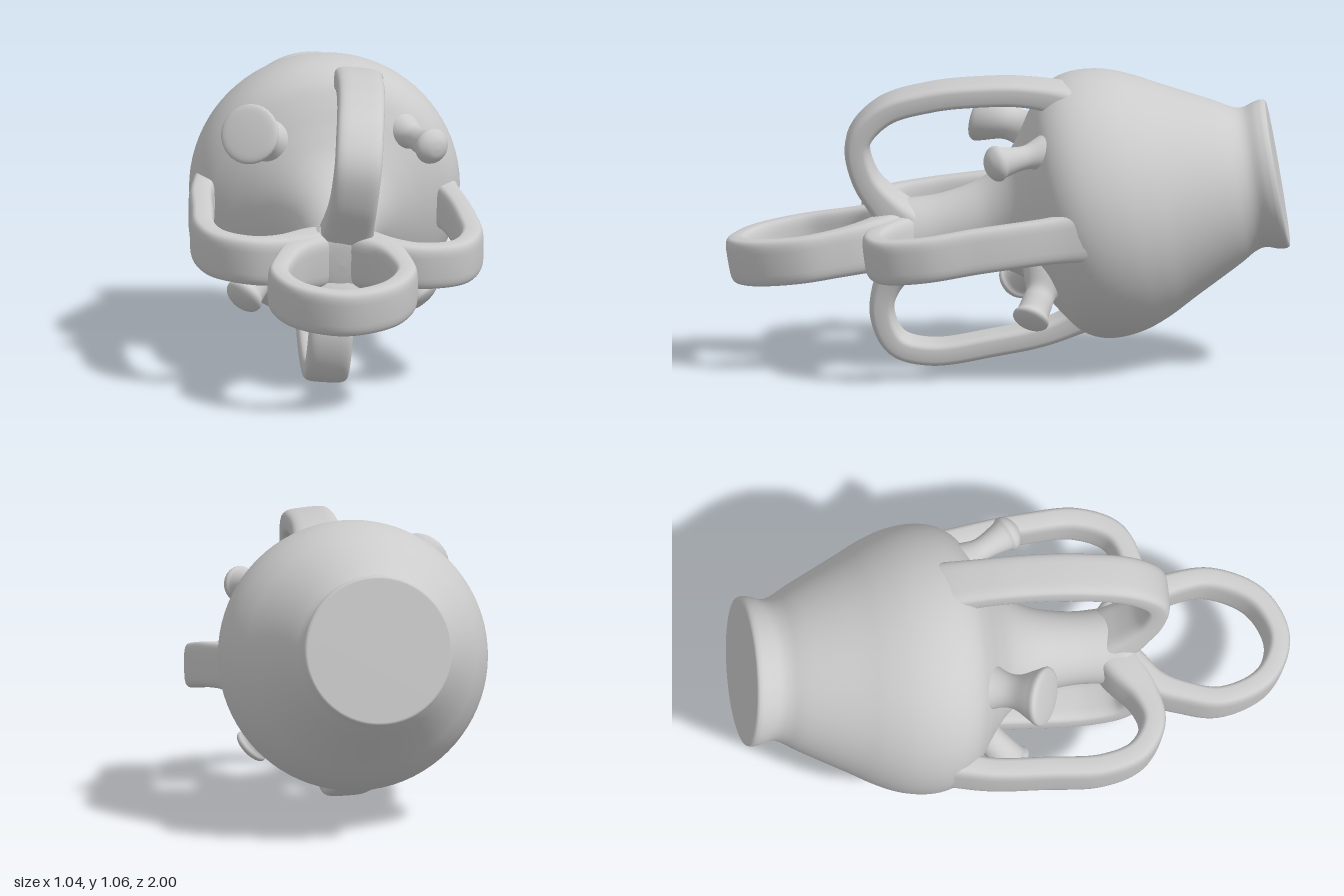
import * as THREE from 'three';

const material = new THREE.MeshStandardMaterial({ color: 0xcccccc, side: THREE.DoubleSide });
const V = (p) => new THREE.Vector3(...p);

function part(name, geometry) {
  const mesh = new THREE.Mesh(geometry, material);
  mesh.name = name;
  return mesh;
}

// Flat strap with a soft rectangular section, swept along a smooth path
function strap(name, path, widthDir, width, thickness) {
  const curve = new THREE.CatmullRomCurve3(path.map(V), false, 'centripetal');
  const rows = 72, sides = 28, positions = [], index = [];
  const soft = (v) => Math.sign(v) * Math.pow(Math.abs(v), 0.5);
  for (let i = 0; i <= rows; i++) {
    const u = i / rows;
    const c = curve.getPointAt(u), t = curve.getTangentAt(u);
    const r = V(widthDir);
    r.addScaledVector(t, -r.dot(t)).normalize();
    const n = new THREE.Vector3().crossVectors(t, r);
    // Swells where it melts into the body
    const swell = Math.exp(-((u / 0.1) ** 2)) + Math.exp(-(((1 - u) / 0.12) ** 2));
    const w = (width / 2) * (1 + 0.2 * swell), h = (thickness / 2) * (1 + 0.7 * swell);
    for (let j = 0; j < sides; j++) {
      const a = (j / sides) * Math.PI * 2;
      const p = c.clone().addScaledVector(r, w * soft(Math.cos(a))).addScaledVector(n, h * soft(Math.sin(a)));
      positions.push(p.x, p.y, p.z);
      if (i < rows) {
        const k = i * sides + j, l = i * sides + ((j + 1) % sides);
        index.push(k, l, k + sides, l, l + sides, k + sides);
      }
    }
  }
  const g = new THREE.BufferGeometry();
  g.setAttribute('position', new THREE.Float32BufferAttribute(positions, 3));
  g.setIndex(index);
  g.computeVertexNormals();
  return part(name, g);
}

// Turned piece whose profile [radius, height] runs from one point toward another
function turned(name, profile, from, to, segments) {
  const mesh = part(name, new THREE.LatheGeometry(profile.map(([r, y]) => new THREE.Vector2(r, y)), segments));
  mesh.position.set(...from);
  mesh.quaternion.setFromUnitVectors(new THREE.Vector3(0, 1, 0), V(to).sub(V(from)).normalize());
  return mesh;
}

// Stalk with a flared head; dome sets how far the end face bulges
function knob(name, from, to, radius, stalk, dome) {
  const len = V(from).distanceTo(V(to));
  const points = [
    [stalk * 2.3, -0.04], [stalk * 1.6, len * 0.2], [stalk * 1.1, len * 0.45], [stalk * 1.1, len * 0.64],
    [radius * 0.86, len - radius * 0.4], [radius, len - radius * 0.1],
    [radius * 0.9, len + dome * 0.35], [radius * 0.5, len + dome * 0.85], [0, len + dome],
  ].map(([r, y]) => new THREE.Vector2(r, y));
  const smooth = new THREE.SplineCurve(points).getPoints(40).map((p) => [Math.max(p.x, 0), p.y]);
  return turned(name, smooth, from, to, 32);
}

export function createModel() {
  const model = new THREE.Group();
  model.name = 'vessel';

  // Vase body lying on its side: base at the back, neck toward the front
  const wall = new THREE.SplineCurve([
    [0.267, 0.02], [0.263, 0.045], [0.251, 0.085], [0.26, 0.125], [0.297, 0.19], [0.383, 0.36],
    [0.43, 0.45], [0.465, 0.54], [0.479, 0.63], [0.47, 0.71], [0.435, 0.775], [0.375, 0.825],
    [0.3, 0.875], [0.225, 0.935], [0.172, 1.01], [0.145, 1.09], [0.13, 1.2], [0.133, 1.3],
    [0.138, 1.37], [0.1, 1.42], [0, 1.43],
  ].map(([r, y]) => new THREE.Vector2(r, y))).getPoints(120).map((p) => [Math.max(p.x, 0), p.y]);
  const base = [[0, 0], [0.255, 0], [0.262, 0.003], [0.266, 0.01]];
  model.add(turned('body', [...base, ...wall], [-0.05, 0.7, -0.95], [0.015, 0.45, 0.5], 80));

  // Four strap handles from shoulder to neck
  model.add(strap('topHandle', [
    [0.09, 0.93, -0.3], [0.09, 0.99, -0.18], [0.09, 1.012, -0.05], [0.09, 1.01, 0.1], [0.085, 0.99, 0.27],
    [0.075, 0.935, 0.44], [0.065, 0.83, 0.53], [0.05, 0.7, 0.51], [0.035, 0.6, 0.44], [0.02, 0.5, 0.34],
  ], [1, -0.1, 0], 0.168, 0.088));
  model.add(strap('bottomHandle', [
    [-0.05, 0.24, -0.36], [-0.05, 0.135, -0.16], [-0.05, 0.082, 0.06], [-0.045, 0.05, 0.28], [-0.04, 0.085, 0.4],
    [-0.03, 0.2, 0.45], [-0.02, 0.32, 0.42], [0, 0.43, 0.33],
  ], [1, -0.06, 0], 0.158, 0.084));
  model.add(strap('rightHandle', [
    [-0.4, 0.6, -0.34], [-0.462, 0.565, -0.14], [-0.472, 0.535, 0.1], [-0.47, 0.51, 0.29], [-0.42, 0.495, 0.42],
    [-0.31, 0.485, 0.483], [-0.2, 0.48, 0.46], [-0.07, 0.475, 0.38],
  ], [0, 1, 0.13], 0.17, 0.086));
  model.add(strap('leftHandle', [
    [0.37, 0.555, -0.34], [0.43, 0.53, -0.1], [0.462, 0.505, 0.1], [0.475, 0.475, 0.28], [0.42, 0.457, 0.41],
    [0.3, 0.455, 0.458], [0.2, 0.46, 0.44], [0.08, 0.465, 0.37],
  ], [0, 1, 0.13], 0.16, 0.082));

  // Large loop projecting from the neck
  model.add(strap('frontLoop', [
    [-0.06, 0.475, 0.39], [-0.155, 0.465, 0.49], [-0.2, 0.447, 0.6], [-0.222, 0.425, 0.73], [-0.15, 0.4, 0.89],
    [0, 0.387, 0.955], [0.15, 0.4, 0.89], [0.226, 0.425, 0.73], [0.21, 0.447, 0.6], [0.165, 0.465, 0.49], [0.07, 0.475, 0.39],
  ], [0, 1, 0.17], 0.165, 0.08));

  // Knobs on the shoulder between the handles
  model.add(knob('upperRightKnob', [-0.2, 0.78, -0.15], [-0.305, 0.865, 0.105], 0.107, 0.058, 0.012));
  model.add(knob('upperLeftKnob', [0.23, 0.825, -0.17], [0.345, 0.8, 0.03], 0.064, 0.04, 0.04));
  model.add(knob('lowerRightKnob', [-0.18, 0.395, -0.16], [-0.32, 0.255, -0.01], 0.07, 0.05, 0.03));
  model.add(knob('lowerLeftKnob', [0.18, 0.38, -0.15], [0.318, 0.235, -0.09], 0.066, 0.05, 0.02));

  return model;
}
